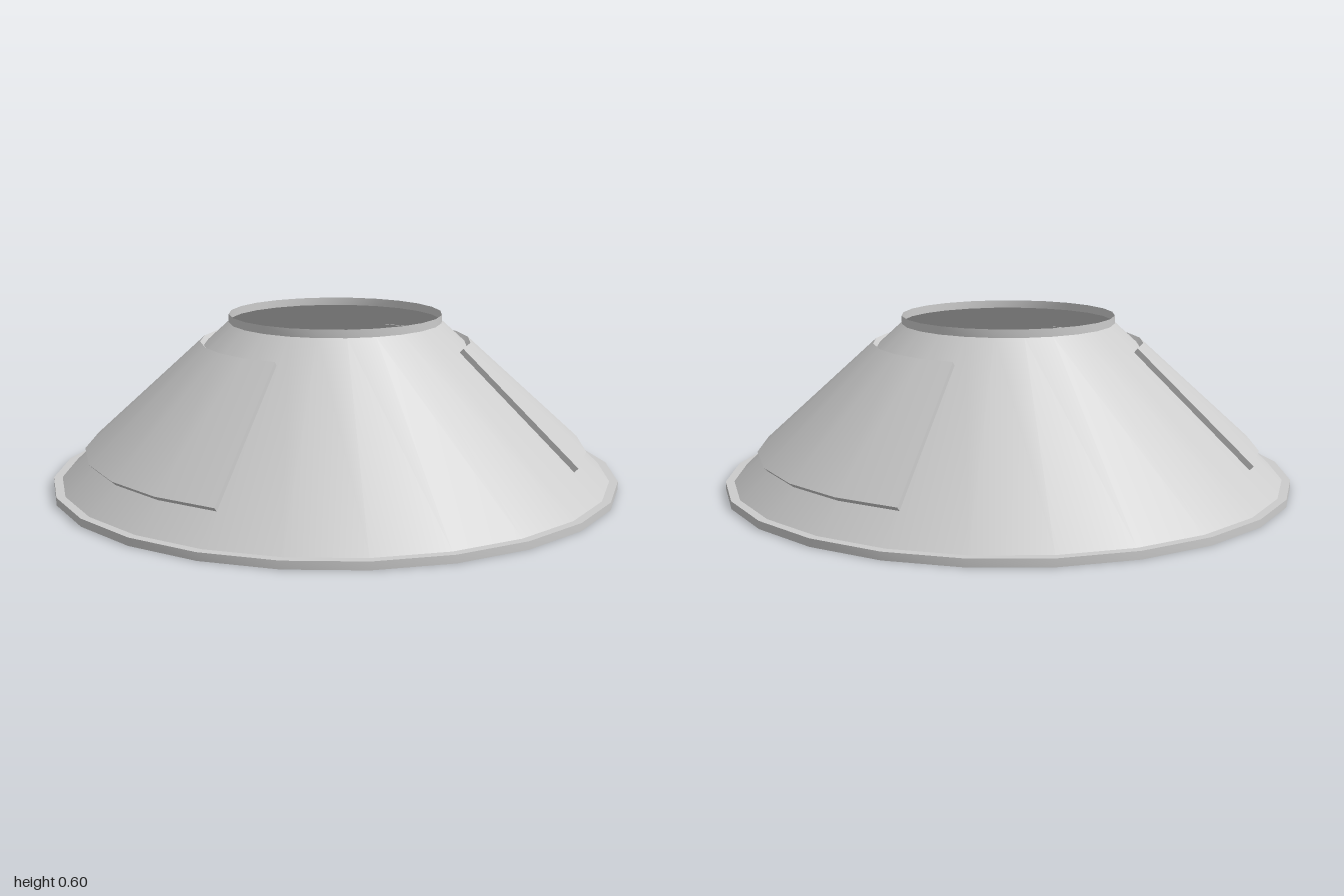
import * as THREE from 'three';
import { toCreasedNormals, mergeGeometries } from 'three/addons/utils/BufferGeometryUtils.js';

const SIDES = 24;
const CREASE = 0.5;

// Sweeps [radius, height] points around the y axis, keeping profile corners sharp
function sweep(points, segments, start, length) {
  const profile = points.map(([r, y]) => new THREE.Vector2(r, y));
  return toCreasedNormals(new THREE.LatheGeometry(profile, segments, start, length), CREASE);
}

// Flat end of a swept profile at one angle
function endCap(points, angle, flip) {
  const corners = points.map(([r, y]) => [Math.sin(angle) * r, y, Math.cos(angle) * r]);
  if (flip) corners.reverse();
  const cap = new THREE.BufferGeometry();
  const order = [0, 1, 2, 0, 2, 3];
  cap.setAttribute('position', new THREE.Float32BufferAttribute(order.flatMap((i) => corners[i]), 3));
  cap.setAttribute('uv', new THREE.Float32BufferAttribute(new Array(12).fill(0), 2));
  cap.computeVertexNormals();
  return cap;
}

export function createModel() {
  const group = new THREE.Group();
  const grey = new THREE.MeshStandardMaterial({ color: 0xcccccc, side: THREE.DoubleSide });
  grey.name = 'light grey';

  const add = (name, geometry) => {
    const mesh = new THREE.Mesh(geometry, grey);
    mesh.name = name;
    group.add(mesh);
  };

  // Thin open shell: base lip, sloping cone and upright collar
  const shell = [[1, 0], [1, 0.027], [0.97, 0.027], [0.375, 0.572], [0.375, 0.6]];
  add('coneShell', sweep(shell, SIDES, 0, Math.PI * 2));

  // Raised quarter-turn panels on both sides of the cone
  const plate = [[0.887, 0.13], [0.476, 0.505], [0.462, 0.49], [0.872, 0.115]];
  const quarter = Math.PI / 2;
  for (const [name, middle] of [['leftPanel', quarter], ['rightPanel', -quarter]]) {
    const start = middle - quarter / 2;
    add(name, mergeGeometries([
      sweep([...plate, plate[0]], SIDES / 4, start, quarter),
      endCap(plate, start, false),
      endCap(plate, start + quarter, true),
    ]));
  }

  return group;
}
